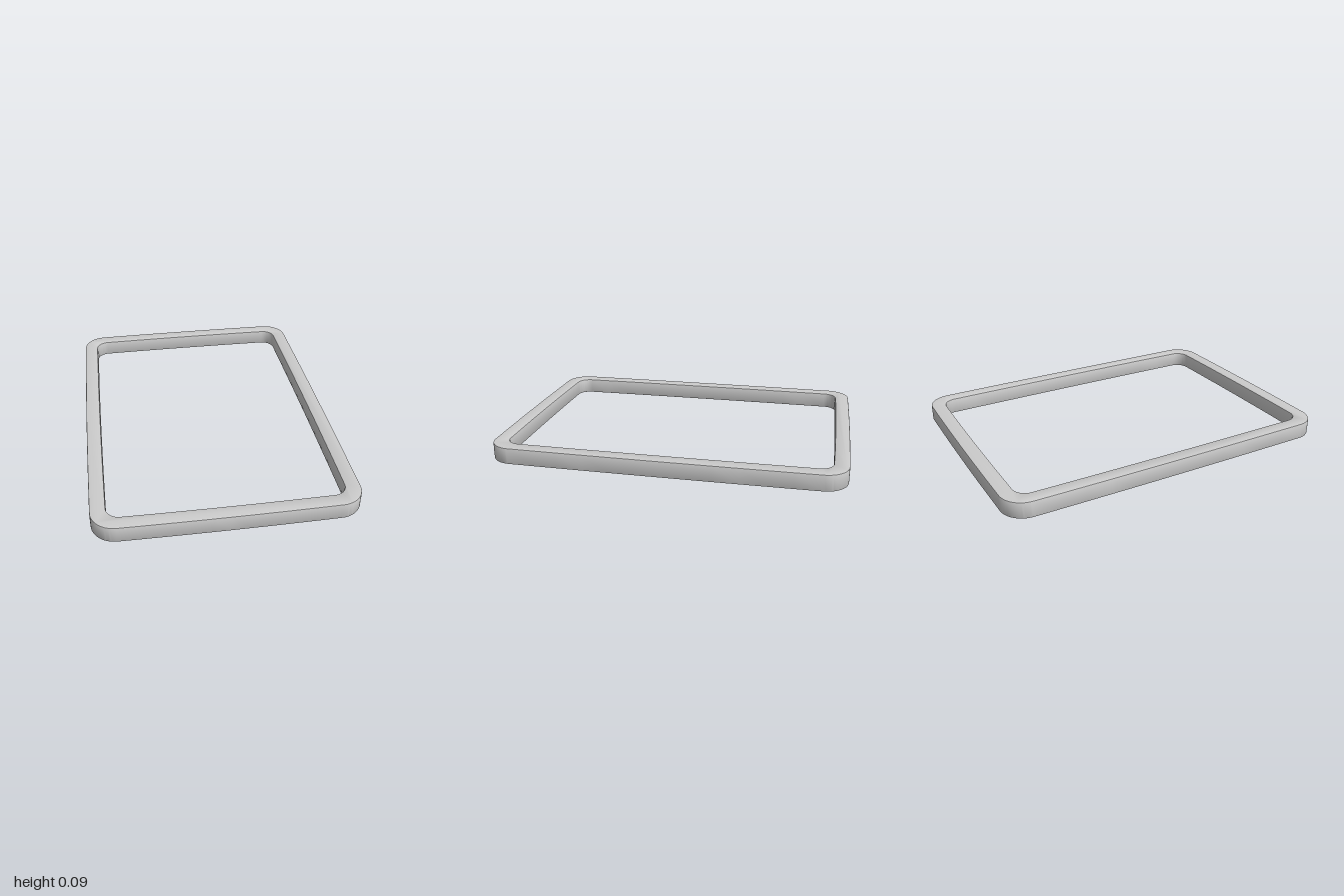
import * as THREE from 'three';
import { toCreasedNormals } from 'three/addons/utils/BufferGeometryUtils.js';

const BOW = 0.005; // slight outward swell of each side

// Rounded rectangle with half-sizes w, h and corner radius r, its sides gently bowed
function outline(path, w, h, r) {
  const x = w - BOW, y = h - BOW, q = Math.PI / 2;
  path.moveTo(x, -y + r);
  path.quadraticCurveTo(x + 2 * BOW, 0, x, y - r);
  path.absarc(x - r, y - r, r, 0, q);
  path.quadraticCurveTo(0, y + 2 * BOW, -x + r, y);
  path.absarc(-x + r, y - r, r, q, 2 * q);
  path.quadraticCurveTo(-x - 2 * BOW, 0, -x, -y + r);
  path.absarc(-x + r, -y + r, r, 2 * q, 3 * q);
  path.quadraticCurveTo(0, -y - 2 * BOW, x - r, -y);
  path.absarc(x - r, -y + r, r, 3 * q, 4 * q);
  return path;
}

export function createModel() {
  const group = new THREE.Group();
  group.name = 'rectangularFrame';

  // Flat ring with softened upper and lower edges
  const height = 0.094, bevel = 0.005;
  const shape = outline(new THREE.Shape(), 0.726, 1, 0.135);
  shape.holes.push(outline(new THREE.Path(), 0.643, 0.917, 0.075));
  const geometry = new THREE.ExtrudeGeometry(shape, {
    depth: height - 2 * bevel,
    bevelThickness: bevel,
    bevelSize: bevel,
    bevelOffset: -bevel,
    bevelSegments: 2,
    curveSegments: 12,
  });
  geometry.translate(0, 0, bevel);
  geometry.rotateX(-Math.PI / 2);

  const frame = new THREE.Mesh(
    toCreasedNormals(geometry, 0.5),
    new THREE.MeshStandardMaterial({ color: 0xcccccc })
  );
  frame.name = 'frame';
  group.add(frame);
  return group;
}
